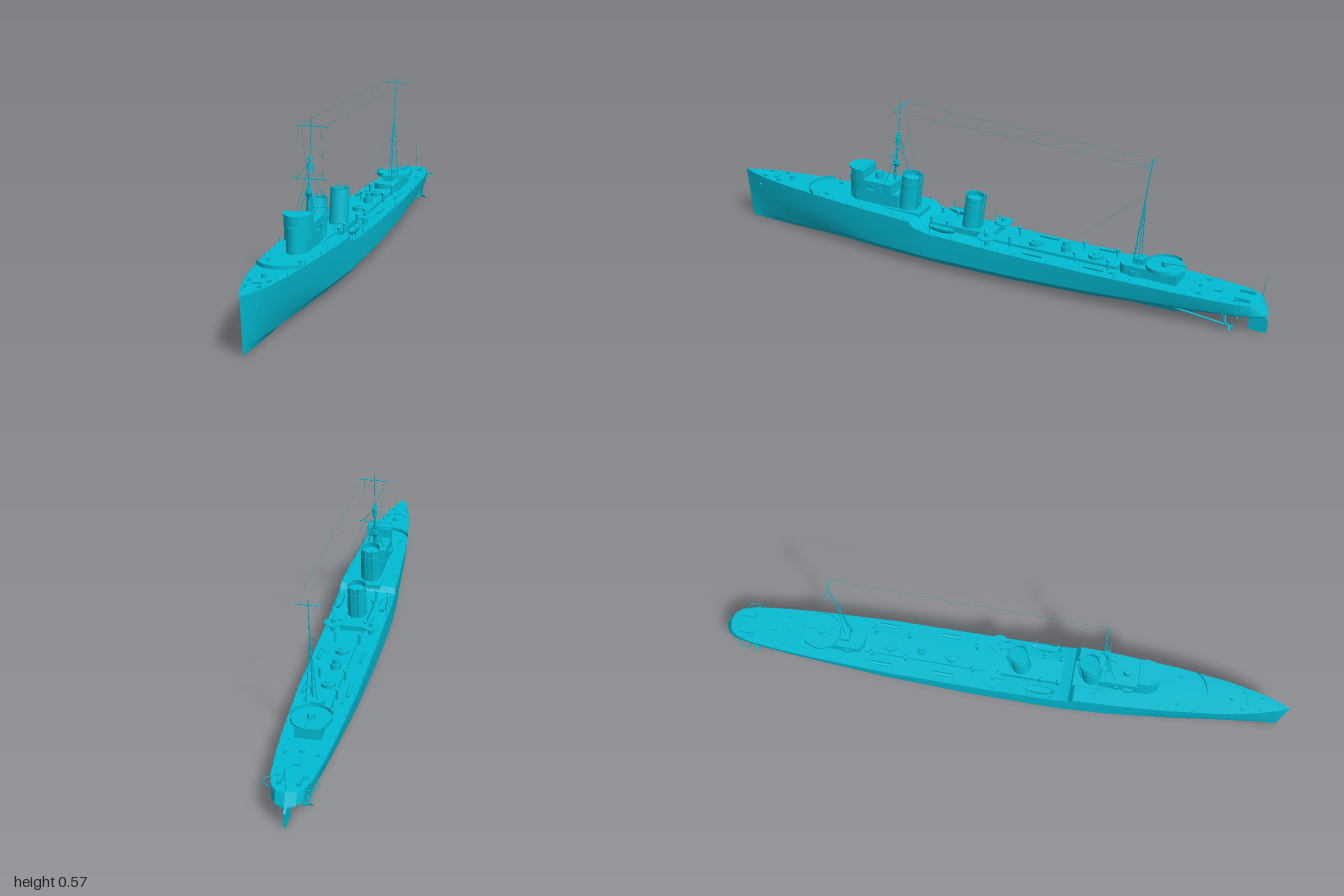
import * as THREE from 'three';
import { toCreasedNormals } from 'three/addons/utils/BufferGeometryUtils.js';

const mat = new THREE.MeshStandardMaterial({ color: 0x00bcd4, side: THREE.DoubleSide });
const V = (x, y, z) => new THREE.Vector3(x, y, z);
const unit = (t) => THREE.MathUtils.clamp(t, 0, 1);

export function createModel() {
  const ship = new THREE.Group();
  ship.name = 'warship';

  const add = (name, geo, x = 0, y = 0, z = 0) => {
    const m = new THREE.Mesh(geo, mat);
    m.name = name;
    m.position.set(x, y, z);
    ship.add(m);
    return m;
  };
  const box = (name, w, h, d, x, y, z) => add(name, new THREE.BoxGeometry(w, h, d), x, y + h / 2, z);
  const disc = (name, r, h, x, y, z, n = 20) => add(name, new THREE.CylinderGeometry(r, r, h, n), x, y + h / 2, z);
  // Straight bar between two points
  const rod = (name, a, b, r = 0.0015, n = 6, rTop = r, open = false) => {
    const m = add(name, new THREE.CylinderGeometry(rTop, r, a.distanceTo(b), n, 1, open));
    m.position.copy(a).lerp(b, 0.5);
    m.quaternion.setFromUnitVectors(V(0, 1, 0), b.clone().sub(a).normalize());
    return m;
  };
  const tube = (name, points, r) =>
    add(name, new THREE.TubeGeometry(new THREE.CatmullRomCurve3(points), 12, r, 5));
  // Upright house with a rounded front
  const house = (name, w, zFront, zBack, y0, y1, round = w) => {
    const pts = [new THREE.Vector2(w, -zBack)];
    for (let i = 0; i <= 10; i++) {
      const a = (i / 10) * Math.PI;
      pts.push(new THREE.Vector2(w * Math.cos(a), -(zFront - round + round * Math.sin(a))));
    }
    pts.push(new THREE.Vector2(-w, -zBack));
    const g = new THREE.ExtrudeGeometry(new THREE.Shape(pts), { depth: y1 - y0, bevelEnabled: false });
    add(name, g.rotateX(-Math.PI / 2), 0, y0, 0);
  };
  const sides = (fn) => [1, -1].forEach(fn);

  // Hull stations: z, deck y, deck half width, bilge half width, bilge y, floor y, keel y
  const stations = [
    [1.0, 0.183, 0, 0, 0.05, 0.022, 0],
    [0.95, 0.182, 0.02, 0.009, 0.05, 0.022, 0],
    [0.88, 0.181, 0.04, 0.021, 0.05, 0.022, 0],
    [0.78, 0.18, 0.06, 0.037, 0.049, 0.022, 0],
    [0.6, 0.177, 0.081, 0.062, 0.047, 0.022, 0],
    [0.4, 0.172, 0.095, 0.084, 0.046, 0.022, 0],
    [0.26, 0.168, 0.1, 0.093, 0.045, 0.021, 0],
    [0.245, 0.15, 0.1, 0.094, 0.045, 0.021, 0],
    [0.19, 0.137, 0.1, 0.096, 0.045, 0.02, 0],
    [-0.1, 0.127, 0.1, 0.097, 0.046, 0.021, 0],
    [-0.4, 0.123, 0.098, 0.09, 0.052, 0.029, 0],
    [-0.68, 0.118, 0.086, 0.075, 0.061, 0.046, 0.001],
    [-0.8, 0.115, 0.077, 0.067, 0.065, 0.053, 0.027],
    [-0.9, 0.113, 0.066, 0.058, 0.069, 0.059, 0.046],
    [-0.95, 0.112, 0.051, 0.047, 0.071, 0.064, 0.057],
    [-0.972, 0.111, 0.032, 0.032, 0.073, 0.068, 0.063],
    [-0.982, 0.111, 0, 0, 0.075, 0.071, 0.068],
  ];
  const pos = [], idx = [], RN = 12;
  for (const [z, dy, dw, bw, by, fy, ky] of stations) {
    // The stem rakes forward, the stern tucks under, and a thin skeg forms aft
    const rake = -0.015 * unit((z - 0.88) / 0.12) - 0.018 * unit((-z - 0.9) / 0.082);
    const skegY = ky + (fy - ky) * 0.7 * unit(-z / 0.6);
    const half = [[0, ky], [Math.min(0.01, bw * 0.3), skegY], [bw * 0.77, fy], [bw, by],
      [bw + (dw - bw) * 0.7, by + (dy - by) * 0.5], [dw, dy], [0, dy + 0.001]];
    const ring = [...half, ...half.slice(1, 6).reverse().map(([x, y]) => [-x, y])];
    for (const [x, y] of ring) pos.push(x, y, z + rake * (dy - y) / (dy - by));
  }
  for (let i = 0; i < stations.length - 1; i++) {
    for (let j = 0; j < RN; j++) {
      const a = i * RN + j, b = i * RN + (j + 1) % RN;
      idx.push(a, a + RN, b, b, a + RN, b + RN);
    }
  }
  const hull = new THREE.BufferGeometry();
  hull.setAttribute('position', new THREE.Float32BufferAttribute(pos, 3));
  hull.setIndex(idx);
  add('hull', toCreasedNormals(hull, 0.35));

  // Height and half width of the deck at any z
  const deckAt = (z) => {
    const i = stations.findIndex((s) => s[0] <= z);
    const p = stations[i - 1], q = stations[i], t = (p[0] - z) / (p[0] - q[0]);
    return [p[1] + (q[1] - p[1]) * t, p[2] + (q[2] - p[2]) * t];
  };

  // Guard rail posts and bollards
  for (let z = 0.94; z > -0.96; z -= 0.06) {
    const [y, w] = deckAt(z);
    sides((s) => rod('railPost', V(s * (w - 0.003), y, z), V(s * (w - 0.003), y + 0.014, z), 0.0008, 4));
  }
  for (const z of [0.9, 0.84, 0.62, -0.48, -0.78, -0.9]) {
    const [y, w] = deckAt(z);
    sides((s) => box('bollard', 0.008, 0.008, 0.014, s * w * 0.65, y, z));
  }

  // Foredeck: curved breakwater, capstan, hatch, anchors
  add('breakwater', new THREE.CylinderGeometry(0.082, 0.082, 0.014, 20, 1, true, -1.15, 2.3), 0, 0.184, 0.63);
  disc('capstan', 0.008, 0.014, 0, 0.18, 0.8, 12);
  box('foreHatch', 0.03, 0.007, 0.014, 0, 0.18, 0.86);
  sides((s) => rod('anchor', V(s * 0.028, 0.15, 0.92), V(s * 0.023, 0.13, 0.925), 0.004));

  // Bridge in tiers
  house('lowerBridge', 0.034, 0.535, 0.34, 0.165, 0.222);
  house('bridgeFront', 0.026, 0.545, 0.48, 0.17, 0.262);
  house('upperBridge', 0.045, 0.54, 0.36, 0.215, 0.262, 0.06);
  house('wheelhouse', 0.044, 0.538, 0.47, 0.255, 0.296, 0.05);
  house('bridgeRoof', 0.046, 0.545, 0.48, 0.294, 0.299, 0.05);
  disc('rangefinderBase', 0.014, 0.025, 0, 0.26, 0.43, 14);
  sides((s) => {
    box('bridgeWing', 0.014, 0.018, 0.03, s * 0.047, 0.215, 0.44);
    rod('wingLamp', V(s * 0.05, 0.225, 0.4), V(s * 0.05, 0.245, 0.4), 0.005, 8);
  });

  // Raked funnels with rim, bands and steam pipes
  const funnel = (zBase, y0, y1, r) => {
    const a = V(0, y0, zBase), b = V(0, y1, zBase - (y1 - y0) * 0.13);
    rod('funnel', a, b, r * 1.04, 24, r, true);
    rod('funnelInside', a, a.clone().lerp(b, 0.88), r * 0.9, 24);
    for (const t of [0.12, 0.8, 1]) {
      const m = add('funnelBand', new THREE.TorusGeometry(r * 1.01, 0.0016, 6, 24));
      m.position.copy(a).lerp(b, t);
      m.rotation.x = Math.PI / 2 - 0.13;
    }
    sides((s) => rod('steamPipe', V(s * 0.012, y0, zBase - r - 0.004), V(s * 0.012, y1 + 0.006, b.z - r - 0.004), 0.003, 8));
  };
  funnel(0.315, 0.165, 0.3, 0.034);
  funnel(0.068, 0.14, 0.272, 0.032);

  // Low midships houses, vents and deck strip
  box('funnelHouse', 0.09, 0.015, 0.13, 0, 0.16, 0.315);
  box('midshipsHouse', 0.08, 0.027, 0.24, 0, 0.128, 0.09);
  box('engineCasing', 0.07, 0.01, 0.46, 0, 0.126, -0.26);
  for (const z of [0.2, 0.14, -0.01, -0.1, -0.34, -0.46]) {
    const y = deckAt(z)[0];
    sides((s) => {
      rod('ventPipe', V(s * 0.042, y, z), V(s * 0.042, y + 0.035, z), 0.004, 8);
      add('ventHead', new THREE.SphereGeometry(0.0065, 10, 6), s * 0.042, y + 0.036, z);
    });
  }

  // Side gun platforms, boats and davits
  sides((s) => {
    disc('gunPlatform', 0.032, 0.004, s * 0.066, 0.156, -0.025);
    disc('platformColumn', 0.01, 0.03, s * 0.066, 0.127, -0.025, 10);
    disc('sideGunMount', 0.007, 0.013, s * 0.066, 0.16, -0.025, 10);
    rod('sideGunBarrel', V(s * 0.066, 0.17, -0.035), V(s * 0.07, 0.178, 0.015), 0.002);
    const boat = add('boat', new THREE.SphereGeometry(1, 14, 8, 0, Math.PI * 2, Math.PI / 2, Math.PI / 2), s * 0.078, 0.162, 0.14);
    boat.scale.set(0.014, 0.018, 0.055);
    box('boatCover', 0.018, 0.002, 0.08, s * 0.078, 0.16, 0.14);
    for (const z of [0.1, 0.18]) {
      tube('davit', [V(s * 0.094, 0.132, z), V(s * 0.096, 0.172, z), V(s * 0.088, 0.186, z), V(s * 0.078, 0.182, z)], 0.0014);
    }
  });

  // Round mounts along the centreline and torpedo tubes at the sides
  for (const [z, r, h] of [[-0.18, 0.025, 0.015], [-0.29, 0.017, 0.022], [-0.4, 0.025, 0.015]]) {
    disc('roundMount', r, h, 0, 0.134, z);
    disc('mountCap', r * 0.5, 0.004, 0, 0.134 + h, z, 12);
  }
  disc('searchlight', 0.011, 0.016, 0, 0.156, -0.29, 12);
  sides((s) => [-0.2, -0.42].forEach((z) =>
    rod('torpedoTube', V(s * 0.072, 0.134, z + 0.035), V(s * 0.072, 0.134, z - 0.035), 0.006, 10)));

  // After deckhouse with round gun platform
  house('afterDeckhouse', 0.042, -0.49, -0.7, 0.115, 0.155, 0.03);
  disc('afterShelter', 0.05, 0.022, 0, 0.118, -0.55, 8);
  disc('afterGunPlatform', 0.066, 0.005, 0, 0.157, -0.645, 28);
  add('platformScreen', new THREE.CylinderGeometry(0.066, 0.066, 0.012, 28, 1, true, -2.2, 4.4), 0, 0.165, -0.645);
  disc('afterGunMount', 0.013, 0.018, 0, 0.16, -0.645, 12);
  rod('afterGunBarrel', V(0, 0.173, -0.63), V(0, 0.176, -0.72), 0.003, 8);
  box('afterControl', 0.04, 0.03, 0.03, 0, 0.145, -0.56);

  // Stern fittings, shafts, brackets and propellers
  box('sternHatch', 0.022, 0.008, 0.028, 0, 0.113, -0.83);
  disc('sternCapstan', 0.007, 0.012, 0, 0.113, -0.77, 10);
  rod('flagstaff', V(0, 0.11, -0.975), V(0, 0.2, -0.985), 0.001);
  sides((s) => {
    box('depthChargeRack', 0.012, 0.012, 0.05, s * 0.03, 0.112, -0.92);
    tube('propellerGuard', [V(s * 0.066, 0.098, -0.885), V(s * 0.082, 0.098, -0.9), V(s * 0.08, 0.098, -0.925), V(s * 0.054, 0.098, -0.94)], 0.0017);
    rod('propellerShaft', V(s * 0.045, 0.05, -0.62), V(s * 0.045, 0.02, -0.9), 0.0035, 8);
    for (const x of [0.03, 0.058]) rod('shaftBracket', V(s * x, 0.064, -0.865), V(s * 0.045, 0.022, -0.875), 0.0025);
    for (let k = 0; k < 3; k++) {
      const g = new THREE.SphereGeometry(1, 8, 6).scale(0.006, 0.011, 0.0015).rotateY(0.5).translate(0, 0.01, 0);
      add('propellerBlade', g, s * 0.045, 0.021, -0.89).rotation.z = (k * Math.PI * 2) / 3;
    }
  });
  const rudder = new THREE.Shape([[0.94, 0.062], [0.937, 0.006], [0.944, 0.001], [0.998, 0.001], [1, 0.05], [0.975, 0.07]].map(([x, y]) => new THREE.Vector2(x, y)));
  add('rudder', new THREE.ExtrudeGeometry(rudder, { depth: 0.008, bevelEnabled: false }).rotateY(Math.PI / 2), -0.004);

  // Foremast with lookout, lamp platform and yards
  const fx = -0.005;
  const foreAt = (y, dx = 0) => V(fx + dx, y, 0.375 - (y - 0.2) * 0.1);
  rod('foremast', foreAt(0.2), foreAt(0.45), 0.004, 8, 0.003);
  rod('foreTopmast', foreAt(0.44), foreAt(0.565));
  rod('lookout', foreAt(0.4), foreAt(0.428), 0.008, 10);
  rod('lookoutRoof', foreAt(0.436), foreAt(0.44), 0.009, 10);
  rod('lampPlatform', foreAt(0.312), foreAt(0.33), 0.004, 12, 0.014);
  rod('mastLamp', foreAt(0.33), foreAt(0.34), 0.009, 10);
  for (const [y, l] of [[0.375, 0.06], [0.543, 0.052]]) rod('foreYard', foreAt(y, -l), foreAt(y, l));
  sides((s) => {
    rod('foremastShroud', foreAt(0.425), V(s * 0.086, 0.172, 0.33), 0.0008, 4);
    rod('foremastLeg', foreAt(0.375), V(s * 0.03, 0.262, 0.39), 0.0018);
    rod('yardStay', foreAt(0.43), foreAt(0.375, s * 0.045), 0.0008, 4);
  });

  // Mainmast, its yard, legs and wires
  const mx = 0.018;
  rod('mainmast', V(mx, 0.12, -0.535), V(mx, 0.54, -0.592), 0.0035, 8, 0.0014);
  rod('mainYard', V(mx - 0.042, 0.523, -0.59), V(mx + 0.04, 0.523, -0.59));
  sides((s) => {
    rod('mainmastLeg', V(mx, 0.4, -0.573), V(mx + s * 0.022, 0.12, -0.56));
    rod('aerial', foreAt(0.543, s * 0.045), V(mx + s * 0.036, 0.523, -0.59), 0.0004, 3);
    rod('aerialDownlead', foreAt(0.543, s * 0.035), V(s * 0.022, 0.3, 0.3), 0.0004, 3);
  });
  rod('mainStay', V(mx, 0.41, -0.574), V(0, 0.165, -0.3), 0.0004, 3);
  return ship;
}
